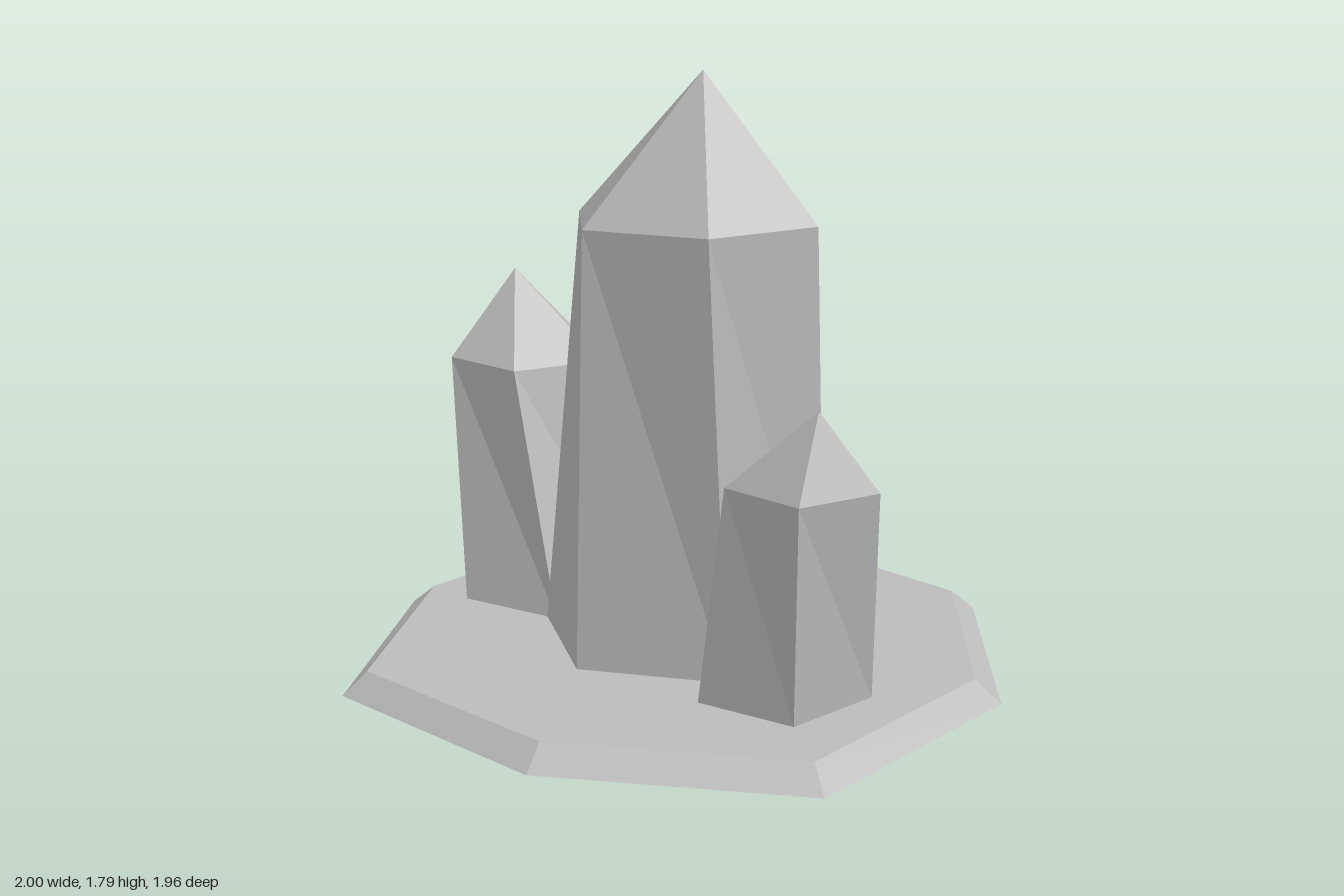
import * as THREE from 'three';

const stone = new THREE.MeshStandardMaterial({ color: 0xbbbbbb });
stone.name = 'grey stone';

// Flat-shaded solid through stacked rings of [x, z] points, closed by a fan to the tip
function loft(name, rings, tip) {
  const pos = [];
  const tri = (...corners) => corners.forEach((c) => pos.push(...c));
  const loops = rings.map(({ y, points }) => points.map(([x, z]) => [x, y, z]));
  const n = loops[0].length;
  const last = loops[loops.length - 1];
  const y0 = rings[0].y;
  const centre = [0, 1].map((k) => rings[0].points.reduce((s, p) => s + p[k], 0) / n);
  const bottom = [centre[0], y0, centre[1]];

  for (let i = 0; i < n; i++) {
    const j = (i + 1) % n;
    for (let r = 0; r < loops.length - 1; r++) {
      const low = loops[r], high = loops[r + 1];
      tri(low[i], high[i], high[j]);
      tri(low[i], high[j], low[j]);
    }
    tri(last[i], tip, last[j]);
    tri(bottom, loops[0][i], loops[0][j]);
  }
  const geometry = new THREE.BufferGeometry();
  geometry.setAttribute('position', new THREE.Float32BufferAttribute(pos, 3));
  geometry.computeVertexNormals();
  const mesh = new THREE.Mesh(geometry, stone);
  mesh.name = name;
  return mesh;
}

const PLATE = 0.065; // top of the base plate

// Twisted prism with a pointed cap
const crystal = (name, foot, shoulderY, shoulder, tip) =>
  loft(name, [{ y: PLATE, points: foot }, { y: shoulderY, points: shoulder }], tip);

export function createModel() {
  const group = new THREE.Group();
  group.name = 'crystalCluster';

  // Bevelled eight-sided base
  group.add(loft('basePlate', [
    { y: 0, points: [[-1, 0.01], [-0.755, -0.72], [-0.02, -0.985], [0.71, -0.71],
      [1, 0.01], [0.74, 0.77], [-0.02, 0.975], [-0.76, 0.755]] },
    { y: PLATE, points: [[-0.92, 0.01], [-0.7, -0.67], [-0.02, -0.91], [0.65, -0.66],
      [0.92, 0.01], [0.69, 0.71], [-0.02, 0.9], [-0.71, 0.7]] },
  ], [0, PLATE, 0]));

  // Tall six-sided crystal
  group.add(crystal('mainCrystal',
    [[-0.305, -0.325], [0.13, -0.405], [0.42, -0.08], [0.28, 0.34], [-0.16, 0.43], [-0.445, 0.095]],
    1.36,
    [[-0.14, -0.255], [0.245, -0.255], [0.435, 0.067], [0.245, 0.398], [-0.14, 0.398], [-0.325, 0.067]],
    [0.1, 1.79, 0.113]));

  // Five-sided crystal on the right
  group.add(crystal('rightCrystal',
    [[-0.835, -0.28], [-0.52, -0.458], [-0.27, -0.22], [-0.41, 0.1], [-0.76, 0.065]],
    0.83,
    [[-0.877, -0.378], [-0.59, -0.472], [-0.41, -0.225], [-0.59, 0.02], [-0.877, -0.073]],
    [-0.75, 1.1, -0.273]));

  // Small five-sided crystal on the left
  group.add(crystal('leftCrystal',
    [[0.2, 0.2], [0.465, 0.05], [0.69, 0.258], [0.563, 0.535], [0.26, 0.497]],
    0.71,
    [[0.347, 0.26], [0.595, 0.183], [0.745, 0.393], [0.595, 0.605], [0.347, 0.52]],
    [0.592, 0.935, 0.46]));

  return group;
}
